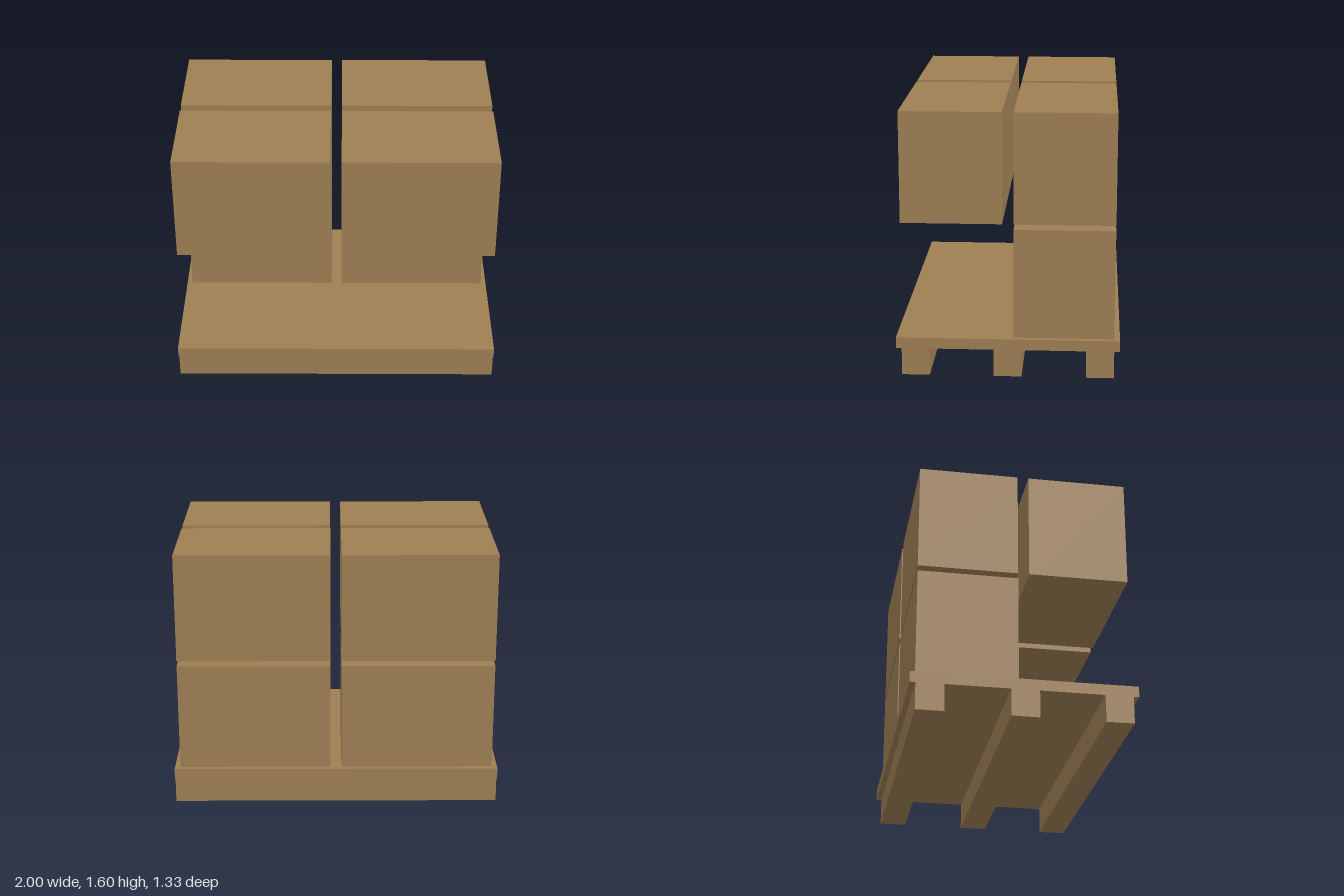
import * as THREE from 'three';

export function createModel() {
  const model = new THREE.Group();
  model.name = 'loadedPallet';

  const cardboard = new THREE.MeshStandardMaterial({ color: 0x9f7f54 });
  cardboard.name = 'cardboardBrown';

  // Adds a block whose underside sits at the given height
  function addBlock(parent, name, [w, h, d], x, bottom, z) {
    const mesh = new THREE.Mesh(new THREE.BoxGeometry(w, h, d), cardboard);
    mesh.name = name;
    mesh.position.set(x, bottom + h / 2, z);
    parent.add(mesh);
  }

  // Pallet: a solid deck on three full-length runners
  const pallet = new THREE.Group();
  pallet.name = 'pallet';
  model.add(pallet);
  const runnerHeight = 0.1667;
  const deckHeight = 0.0667;
  addBlock(pallet, 'deck', [2, deckHeight, 1.3333], 0, runnerHeight, 0);
  [['frontRunner', 0.55], ['middleRunner', 0], ['backRunner', -0.55]].forEach(([name, z]) =>
    addBlock(pallet, name, [2, runnerHeight, 0.1667], 0, 0, z));

  // Cartons: a back row below, a full layer of four above
  const cartons = new THREE.Group();
  cartons.name = 'cartons';
  model.add(cartons);
  const size = [0.9333, 0.6667, 0.6];
  const lower = runnerHeight + deckHeight;
  const upper = lower + size[1] + 0.0333;
  for (const [side, x] of [['Left', 0.5], ['Right', -0.5]]) {
    addBlock(cartons, `lowerBack${side}Carton`, size, x, lower, -0.3333);
    addBlock(cartons, `upperBack${side}Carton`, size, x, upper, -0.3333);
    addBlock(cartons, `upperFront${side}Carton`, size, x, upper, 0.3333);
  }

  return model;
}
